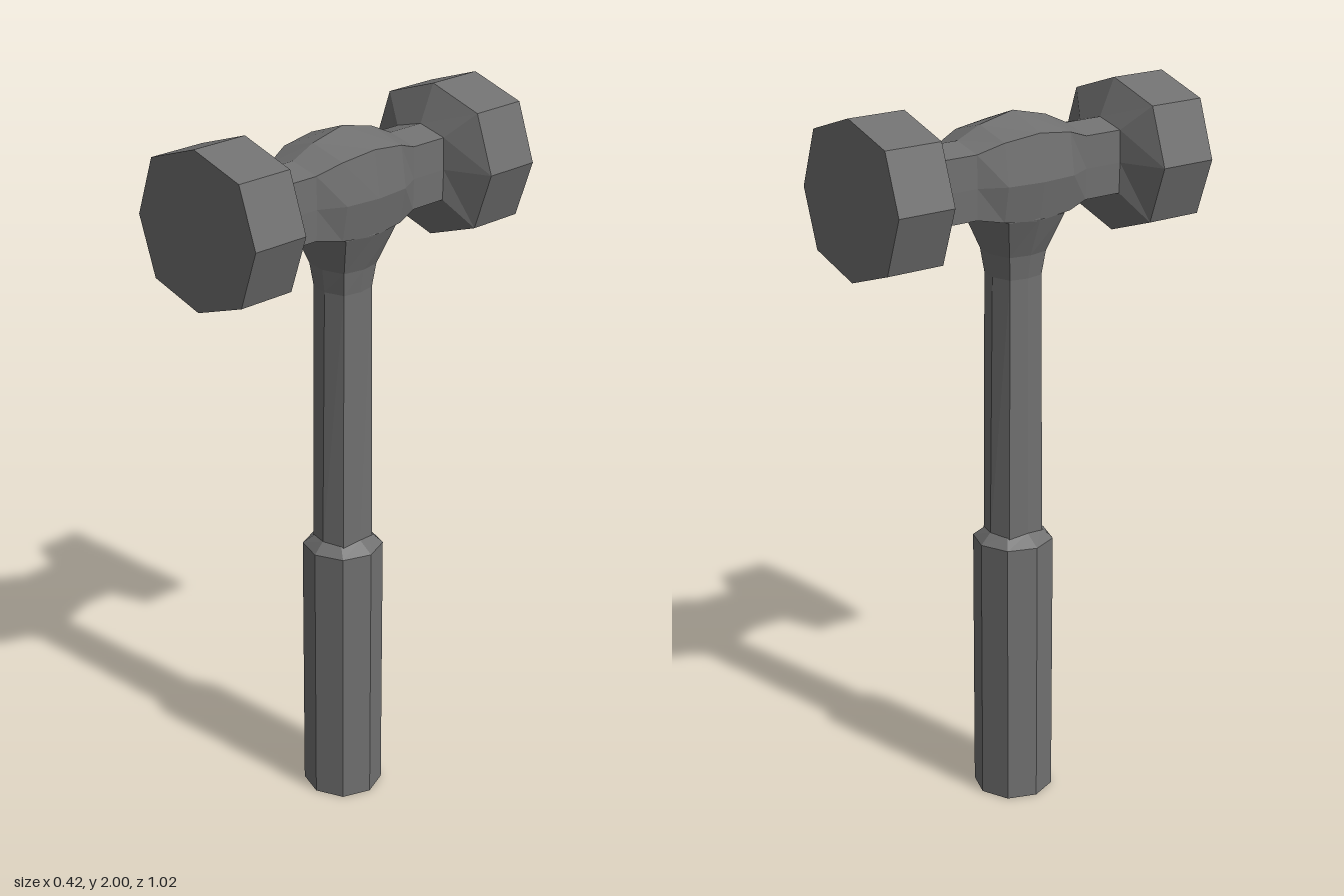
import * as THREE from 'three';

const material = new THREE.MeshStandardMaterial({ color: 0x707070, flatShading: true });

// Closed skin through eight-point rings, each counter-clockwise about the direction of travel.
function loft(name, rings) {
  const n = rings[0].length;
  const index = [];
  for (let i = 0; i < rings.length - 1; i++) {
    for (let j = 0; j < n; j++) {
      const a = i * n + j, b = i * n + (j + 1) % n;
      index.push(a, b, b + n, a, b + n, a + n);
    }
  }
  const last = (rings.length - 1) * n;
  for (let j = 1; j < n - 1; j++) {
    index.push(0, j + 1, j, last, last + j, last + j + 1);
  }
  const indexed = new THREE.BufferGeometry();
  indexed.setAttribute('position', new THREE.Float32BufferAttribute(rings.flat(2), 3));
  indexed.setIndex(index);
  const geometry = indexed.toNonIndexed();
  geometry.computeVertexNormals();
  const mesh = new THREE.Mesh(geometry, material);
  mesh.name = name;
  return mesh;
}

// Upright ring: half-widths on x and z, plus the corner between them.
const yRing = (y, x, z, cx = x * 0.72, cz = z * 0.72) => [
  [0, y, z], [cx, y, cz], [x, y, 0], [cx, y, -cz],
  [0, y, -z], [-cx, y, -cz], [-x, y, 0], [-cx, y, cz],
];

// Head ring: side x, shoulder x, then top, upper shoulder, lower shoulder and bottom heights.
const AXIS = 1.791;
const zRing = (z, x, sx, top, up, low, bottom) => [
  [x, AXIS, z], [sx, up, z], [0, top, z], [-sx, up, z],
  [-x, AXIS, z], [-sx, low, z], [0, bottom, z], [sx, low, z],
];

export function createModel() {
  const model = new THREE.Group();
  model.name = 'hammer';

  // Grip with a chamfered top
  model.add(loft('grip', [
    yRing(0, 0.109, 0.109),
    yRing(0.765, 0.109, 0.109),
    yRing(0.795, 0.067, 0.078),
  ]));

  // Slim shaft
  model.add(loft('shaft', [
    yRing(0.78, 0.067, 0.078, 0.058, 0.057),
    yRing(1.53, 0.066, 0.068, 0.056, 0.052),
  ]));

  // Flared collar joining shaft and head, its top closed inside the head
  model.add(loft('collar', [
    yRing(1.52, 0.066, 0.068, 0.056, 0.052),
    yRing(1.585, 0.076, 0.076, 0.064, 0.06),
    yRing(1.69, 0.116, 0.11, 0.102, 0.092),
    yRing(1.75, 0.11, 0.09, 0.08, 0.07),
  ]));

  // Head: half profile from the face to the middle, mirrored along z
  const half = [
    [0.508, 0.211, 0.157, 2.0, 1.948, 1.635, 1.583],
    [0.34, 0.211, 0.157, 2.0, 1.948, 1.635, 1.583],
    [0.293, 0.085, 0.083, 1.9, 1.878, 1.708, 1.685],
    [0.178, 0.085, 0.083, 1.9, 1.878, 1.708, 1.685],
    [0.107, 0.122, 0.105, 1.932, 1.902, 1.695, 1.68],
  ];
  const back = half.map(([z, ...rest]) => zRing(-z, ...rest));
  const front = half.map((r) => zRing(...r)).reverse();
  const middle = zRing(0, 0.133, 0.114, 1.956, 1.915, 1.685, 1.67);
  model.add(loft('head', [...back, middle, ...front]));

  return model;
}
